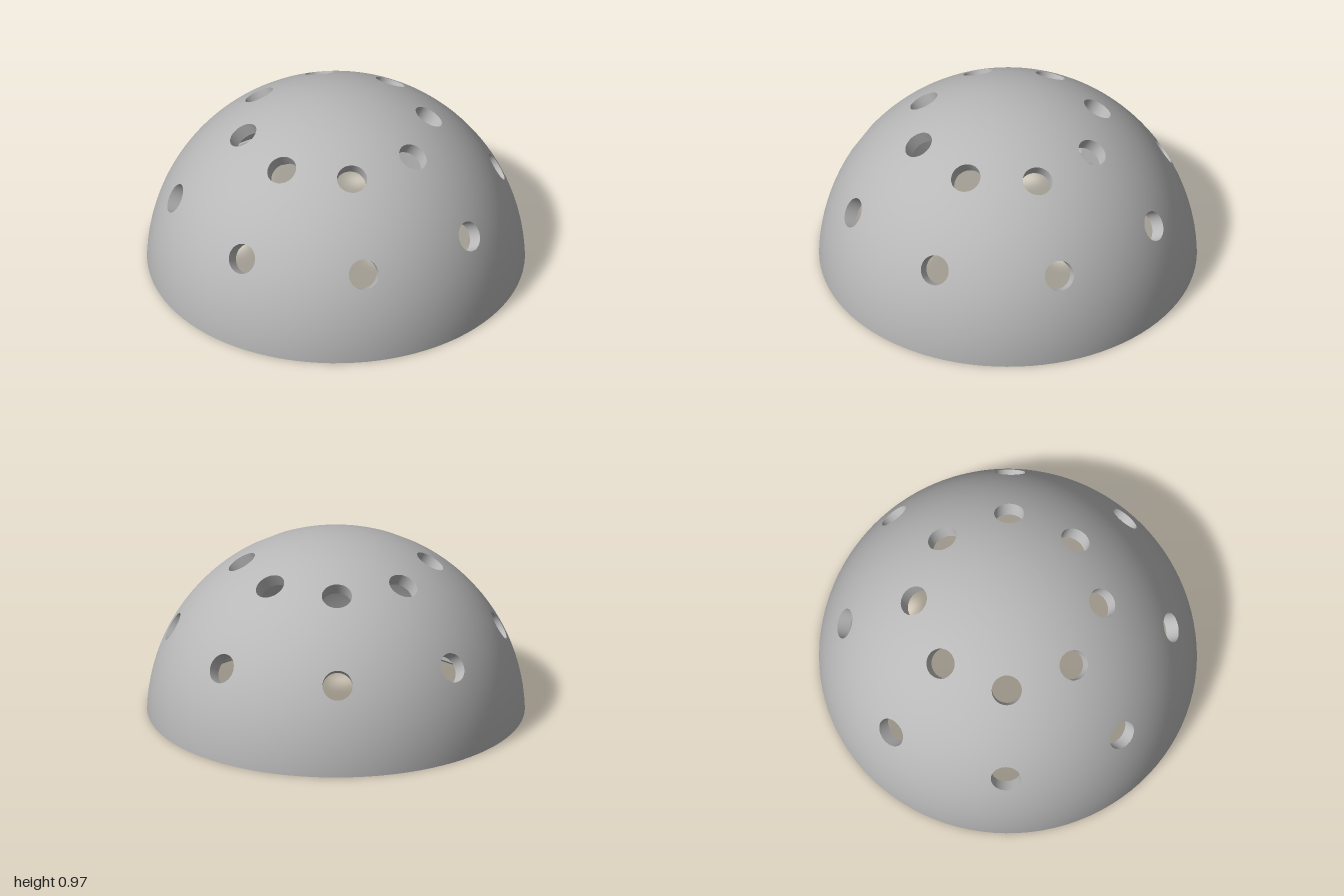
import * as THREE from 'three';
import { mergeGeometries } from 'three/addons/utils/BufferGeometryUtils.js';

const RAD = Math.PI / 180;
const R_OUT = 1, R_IN = 0.925, CENTRE_Y = -0.03, HOLE = 0.08;
const N = 12;                       // points along each patch side
const STEP = 45 / N;                // angular step shared by all parts
const CAP_LAT = 78;
const LIP_TOP = 0.21, LIP_R = 0.865, RIM_R = 0.88;
const SLOT_R = 0.925, SLOT_LOW = 0.065, SLOT_TOP = 0.165;
const LEDGE_R = Math.sqrt(R_IN ** 2 - (LIP_TOP - CENTRE_Y) ** 2);
const BASE_R = Math.sqrt(R_OUT ** 2 - CENTRE_Y ** 2);

const direction = (az, lat) => new THREE.Vector3(
  Math.cos(lat * RAD) * Math.sin(az * RAD), Math.sin(lat * RAD), Math.cos(lat * RAD) * Math.cos(az * RAD));

// Surface from closed rings of { p, n } points
function ringSurface(rings) {
  const pos = [], nor = [], index = [], cols = rings[0].length;
  for (const ring of rings) for (const { p, n } of ring) {
    pos.push(p.x, p.y + CENTRE_Y, p.z);
    nor.push(n.x, n.y, n.z);
  }
  for (let j = 0; j < rings.length - 1; j++) for (let k = 0; k < cols; k++) {
    const k2 = (k + 1) % cols;
    const a = j * cols + k, b = a + cols, c = (j + 1) * cols + k2, d = j * cols + k2;
    index.push(a, b, c, a, c, d);
  }
  const g = new THREE.BufferGeometry();
  g.setAttribute('position', new THREE.Float32BufferAttribute(pos, 3));
  g.setAttribute('normal', new THREE.Float32BufferAttribute(nor, 3));
  g.setIndex(index);
  return g;
}

// Points around a square, counter-clockwise from its lower left corner
const square = [];
for (let side = 0; side < 4; side++) for (let i = 0; i < N; i++) {
  const t = -1 + 2 * i / N;
  square.push([[t, -1], [1, t], [-t, 1], [-1, -t]][side]);
}

// One patch of spherical wall with a round hole through it
function holedPatch(az, lat, outLow, inLow, high) {
  const axis = direction(az, lat);
  const east = direction(az + 90, 0), north = direction(az, lat + 90);
  const around = ([u, v]) => {
    const t = Math.atan2(v, u);
    return east.clone().multiplyScalar(Math.cos(t)).addScaledVector(north, Math.sin(t));
  };
  const holeDir = (uv, R) => axis.clone().multiplyScalar(Math.sqrt(R * R - HOLE * HOLE))
    .addScaledVector(around(uv), HOLE).divideScalar(R);
  const skin = (R, low, sign) => {
    const rings = [];
    for (let j = 0; j <= 8; j++) rings.push(square.map(uv => {
      const edge = direction(az + 22.5 * uv[0], low + (high - low) * (uv[1] + 1) / 2);
      const d = holeDir(uv, R).lerp(edge, j / 8).normalize();
      return { p: d.clone().multiplyScalar(R), n: d.clone().multiplyScalar(sign) };
    }));
    return rings;
  };
  const tunnel = [R_IN, R_OUT].map(R => square.map(uv => (
    { p: holeDir(uv, R).multiplyScalar(R), n: around(uv).negate() })));
  return [
    ringSurface(skin(R_OUT, outLow, 1)),
    ringSurface(tunnel),
    ringSurface(skin(R_IN, inLow, -1).reverse()),
  ];
}

// Lathe with a hard edge at every profile point
function hardLathe(profile, from, to) {
  const parts = [];
  for (let i = 0; i < profile.length - 1; i++) {
    const pair = [profile[i], profile[i + 1]].map(([r, y]) => new THREE.Vector2(r, y));
    parts.push(new THREE.LatheGeometry(pair, Math.round((to - from) / STEP), from * RAD, (to - from) * RAD));
  }
  return mergeGeometries(parts);
}

// Flat wall closing a groove at one angle
function endWall(points, az) {
  const shape = new THREE.Shape(points.map(([r, y]) => new THREE.Vector2(r, y)));
  return new THREE.ShapeGeometry(shape).rotateY((az - 90) * RAD);
}

export function createModel() {
  const group = new THREE.Group();
  const grey = new THREE.MeshStandardMaterial({ color: 0xb8b8b8, side: THREE.DoubleSide });
  grey.name = 'grey';
  const add = (name, geometry) => {
    const mesh = new THREE.Mesh(geometry, grey);
    mesh.name = name;
    group.add(mesh);
  };

  // Two rings of eight holes
  const outBase = Math.asin(-CENTRE_Y / R_OUT) / RAD;
  const inBase = Math.asin((LIP_TOP - CENTRE_Y) / R_IN) / RAD;
  const lower = [], upper = [];
  for (let i = 0; i < 8; i++) {
    const az = 15 + 45 * i;
    lower.push(...holedPatch(az, 30, outBase, inBase, 45));
    upper.push(...holedPatch(az, 60, 45, 45, CAP_LAT));
  }
  add('lowerHoleBand', mergeGeometries(lower));
  add('upperHoleBand', mergeGeometries(upper));

  // Crown, outside and inside
  const arc = R => Array.from({ length: 7 }, (_, i) => {
    const a = (CAP_LAT + (90 - CAP_LAT) * i / 6) * RAD;
    return new THREE.Vector2(i === 6 ? 0 : R * Math.cos(a), R * Math.sin(a) + CENTRE_Y);
  });
  add('crownOutside', new THREE.LatheGeometry(arc(R_OUT), 8 * N));
  add('crownInside', new THREE.LatheGeometry(arc(R_IN).reverse(), 8 * N));

  // Inner lip with a ledge on top, and a twist-lock groove on two opposite sides
  const ledge = [[LEDGE_R, LIP_TOP], [RIM_R, LIP_TOP], [LIP_R, LIP_TOP - 0.02]];
  const rim = [[LIP_R, 0.015], [RIM_R, 0], [BASE_R, 0]];
  const groove = [[LIP_R, SLOT_TOP], [SLOT_R, SLOT_TOP]];
  const plain = [...ledge, ...rim];
  const slot = [...ledge, ...groove, [SLOT_R, SLOT_LOW], [LIP_R, SLOT_LOW], ...rim];
  const entry = [...ledge, ...groove, [SLOT_R, 0], [BASE_R, 0]];
  const wall = (low, high) => [[SLOT_R, low], ...(low ? [[LIP_R, low]] : [[RIM_R, 0], [LIP_R, 0.015]]),
    [LIP_R, high], [SLOT_R, high]];
  for (const turn of [0, 180]) {
    const a = turn - 75, b = turn - 41.25, c = turn - 30;
    add('lockSlot', hardLathe(slot, a, b));
    add('lockEntry', hardLathe(entry, b, c));
    add('innerLip', hardLathe(plain, c, a + 180));
    add('slotEnd', endWall(wall(SLOT_LOW, SLOT_TOP), a));
    add('entryStep', endWall(wall(0, SLOT_LOW), b));
    add('entrySide', endWall(wall(0, SLOT_TOP), c));
  }
  return group;
}
